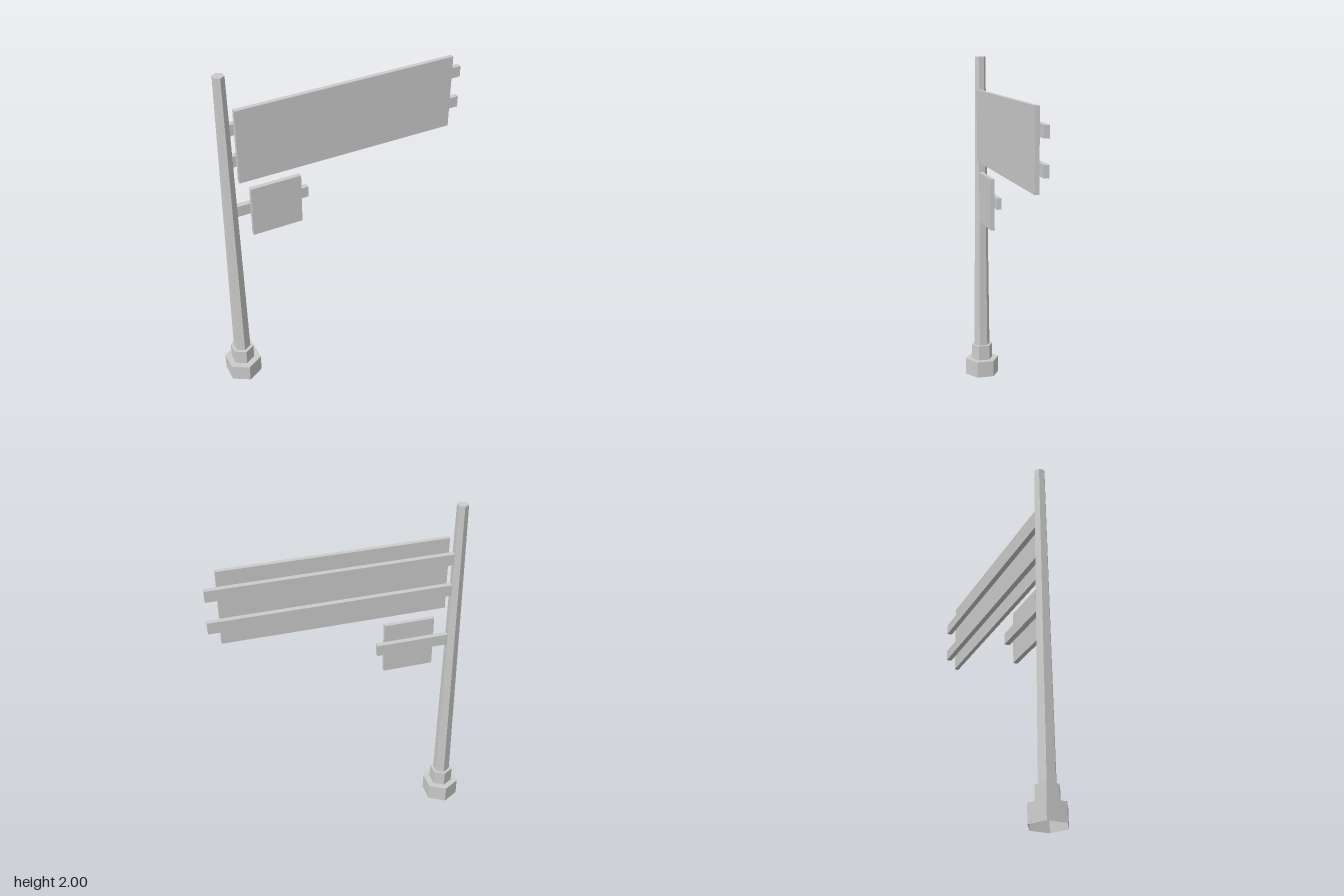
import * as THREE from 'three';

const POLE_X = -0.635;

export function createModel() {
  const model = new THREE.Group();
  const material = new THREE.MeshStandardMaterial({ color: 0xcccccc, flatShading: true });
  const openMaterial = material.clone();
  openMaterial.side = THREE.DoubleSide;

  // Hexagonal part revolved around the pole axis, from [radius, height] pairs
  const hexPart = (name, profile) => {
    const points = profile.map(([r, y]) => new THREE.Vector2(r, y));
    const mesh = new THREE.Mesh(new THREE.LatheGeometry(points, 6), openMaterial);
    mesh.name = name;
    mesh.position.x = POLE_X;
    model.add(mesh);
  };

  // Box given by its extents
  const box = (name, [x0, x1], [y0, y1], [z0, z1]) => {
    const mesh = new THREE.Mesh(new THREE.BoxGeometry(x1 - x0, y1 - y0, z1 - z0), material);
    mesh.name = name;
    mesh.position.set((x0 + x1) / 2, (y0 + y1) / 2, (z0 + z1) / 2);
    model.add(mesh);
  };

  // Stepped footing, open underneath, and tapered pole with a closed top
  hexPart('base', [[0.106, 0], [0.106, 0.102], [0.067, 0.102]]);
  hexPart('collar', [[0.067, 0.102], [0.067, 0.195], [0.049, 0.195]]);
  hexPart('pole', [[0.049, 0.195], [0.031, 2], [0, 2]]);

  // Horizontal arms, starting inside the pole
  const armZ = [-0.017, 0.012];
  box('upperArm', [-0.615, 0.723], [1.658, 1.722], armZ);
  box('middleArm', [-0.615, 0.723], [1.468, 1.533], armZ);
  box('lowerArm', [-0.615, -0.19], [1.148, 1.213], armZ);

  // Sign boards on the front of the arms
  const boardZ = [0.012, 0.036];
  box('largeSign', [-0.583, 0.655], [1.377, 1.807], boardZ);
  box('smallSign', [-0.525, -0.24], [1.017, 1.318], boardZ);

  return model;
}
